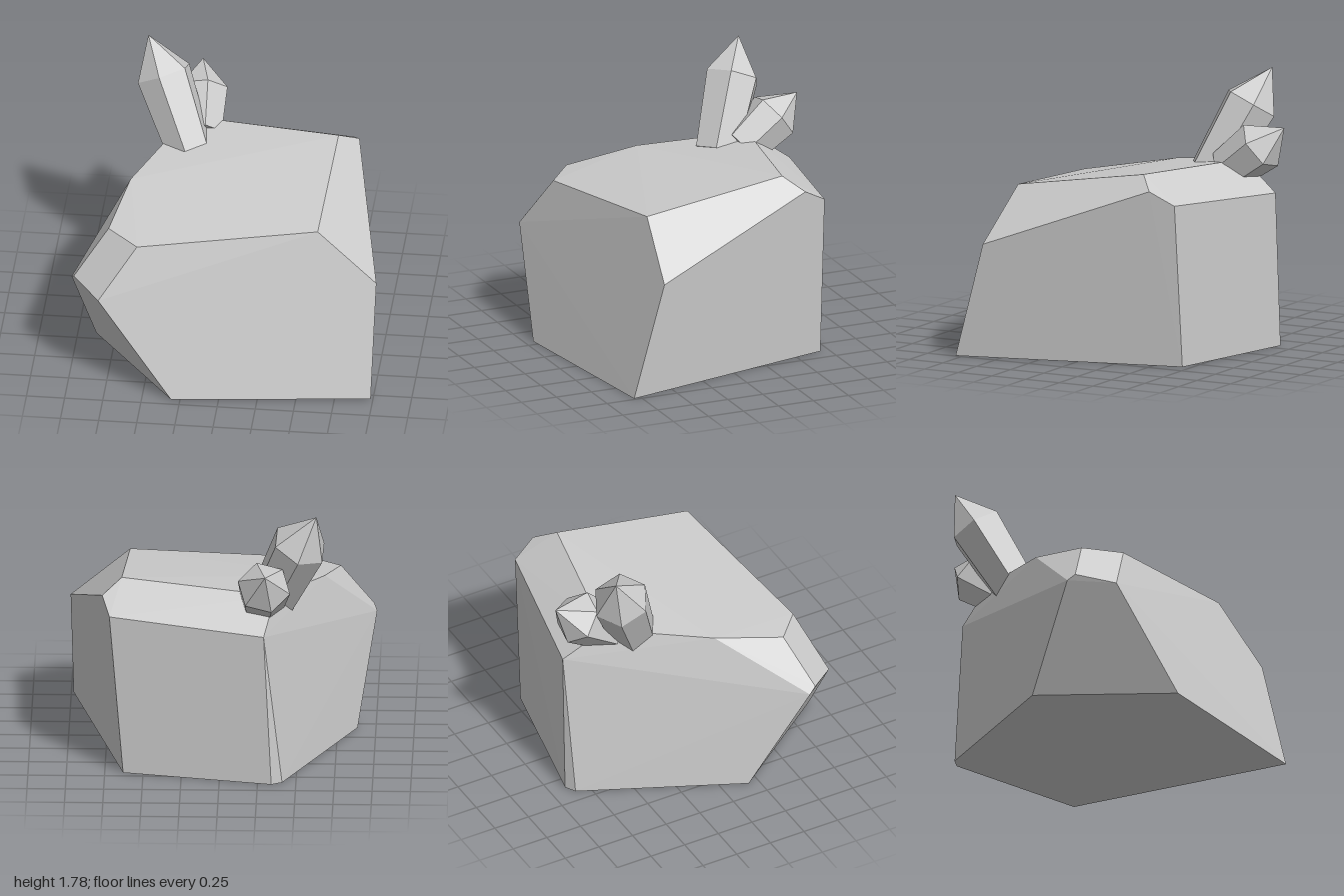
import * as THREE from 'three';
import { ConvexGeometry } from 'three/addons/geometries/ConvexGeometry.js';

const V = (a) => new THREE.Vector3(...a);

const stone = new THREE.MeshStandardMaterial({ color: 0xcccccc, flatShading: true });
stone.name = 'stone grey';

// Flat-faced solid around a handful of corner points
function facetedSolid(name, points) {
  const mesh = new THREE.Mesh(new ConvexGeometry(points), stone);
  mesh.name = name;
  return mesh;
}

// Six-sided crystal: tapered shaft from base to shoulder, then a point.
// corner is one shoulder corner; the rest are turned around the axis.
function crystal(name, base, shoulder, tip, corner, taper) {
  const axis = V(shoulder).sub(V(base)).normalize();
  const spoke = V(corner).sub(V(shoulder));
  const radius = spoke.length();
  spoke.addScaledVector(axis, -spoke.dot(axis)).setLength(radius);
  const points = [V(tip)];
  for (let i = 0; i < 6; i++) {
    const arm = spoke.clone().applyAxisAngle(axis, (i * Math.PI) / 3);
    points.push(V(shoulder).add(arm));
    points.push(V(base).addScaledVector(arm, taper));
  }
  return facetedSolid(name, points);
}

export function createModel() {
  const model = new THREE.Group();
  model.name = 'crystalRock';

  // Boulder: footprint, flank corners and sloping top
  const footprint = [
    [-0.31, 0, 0.94], [0.985, 0, 0.8], [0.63, 0, -0.69],
    [-0.34, 0, -0.89], [-0.41, 0, -0.85], [-0.88, 0, 0.18],
  ];
  const flanks = [
    [1, 0.76, 0.59], [-1, 0.67, 0.57], [-0.98, 0.705, 0.62], [-0.8, 0.65, 0.82],
    [0.72, 1.08, -0.68], [-0.29, 1.02, -0.88],
  ];
  const top = [
    [0.61, 1.1, 0.54], [0.645, 1.255, -0.41], [0.77, 1.17, -0.52],
    [-0.36, 1.21, -0.61], [-0.67, 1.11, 0.04], [-0.765, 1.01, 0.5], [-0.56, 0.995, 0.685],
  ];
  model.add(facetedSolid('boulder', [...footprint, ...flanks, ...top].map(V)));

  // Crystals growing from the back corner
  model.add(crystal('largeCrystal', [-0.335, 1.11, -0.385], [-0.52, 1.55, -0.575],
    [-0.63, 1.78, -0.67], [-0.53, 1.62, -0.4], 0.84));
  model.add(crystal('smallCrystal', [-0.275, 1.14, -0.53], [-0.29, 1.325, -0.77],
    [-0.3, 1.455, -0.94], [-0.24, 1.46, -0.67], 0.84));

  return model;
}
